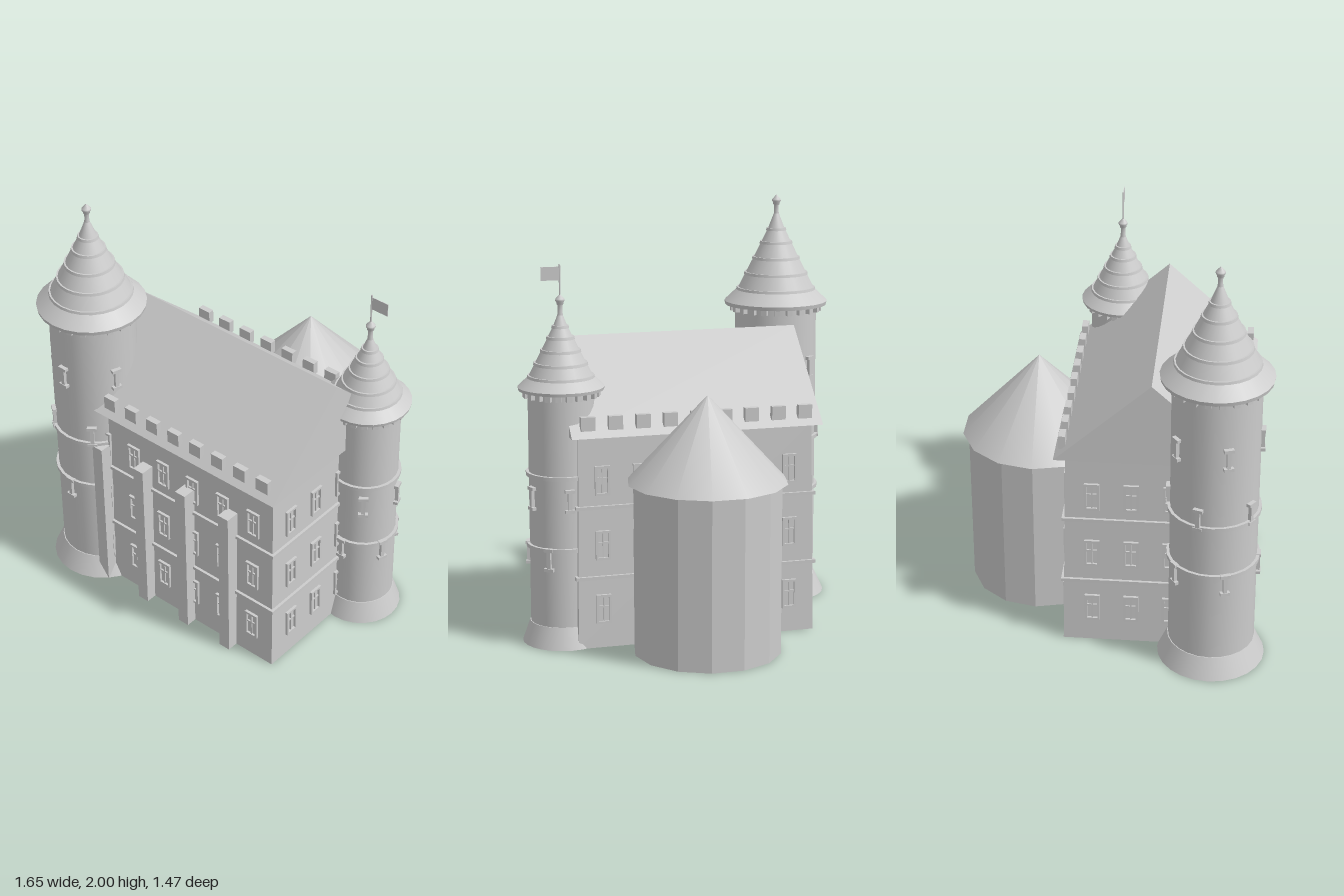
import * as THREE from 'three';

export function createModel() {
  const stone = new THREE.MeshStandardMaterial({ color: 0xcccccc });
  stone.name = 'paleStone';
  stone.side = THREE.DoubleSide;
  const castle = new THREE.Group();
  castle.name = 'castle';

  const group = (name, parent, x = 0, y = 0, z = 0, turn = 0) => {
    const g = new THREE.Group();
    g.name = name;
    g.position.set(x, y, z);
    g.rotation.y = turn;
    parent.add(g);
    return g;
  };
  const add = (name, geo, parent, x = 0, y = 0, z = 0) => {
    const m = new THREE.Mesh(geo, stone);
    m.name = name;
    m.position.set(x, y, z);
    parent.add(m);
    return m;
  };
  const box = (name, w, h, d, parent, x, y, z) =>
    add(name, new THREE.BoxGeometry(w, h, d), parent, x, y, z);
  // Round section given by its lower and upper heights and radii
  const drum = (name, y0, r0, y1, r1, parent, sides = 24) =>
    add(name, new THREE.CylinderGeometry(r1, r0, y1 - y0, sides), parent, 0, (y0 + y1) / 2, 0);

  // ---- Main hall: slightly tapered block with string courses ----
  const CX = 0.026, CZ = 0.193;
  const hall = group('hall', castle, CX, 0, CZ);
  const halfX = y => 0.571 - 0.012 * y;
  const halfZ = y => 0.407 - 0.018 * y;
  const wallGeo = new THREE.BoxGeometry(2, 1, 2).translate(0, 0.5, 0);
  const p = wallGeo.attributes.position;
  for (let i = 0; i < p.count; i++) {
    const y = p.getY(i);
    p.setX(i, p.getX(i) * halfX(y));
    p.setZ(i, p.getZ(i) * halfZ(y));
  }
  wallGeo.computeVertexNormals();
  add('hallWalls', wallGeo, hall);
  for (const y of [0.335, 0.667])
    box('stringCourse', 2 * halfX(y) + 0.026, 0.016, 2 * halfZ(y) + 0.026, hall, 0, y, 0);

  // Gable roof
  const gable = new THREE.Shape([
    new THREE.Vector2(-0.44, 1), new THREE.Vector2(0.44, 1), new THREE.Vector2(0, 1.4)]);
  const roofGeo = new THREE.ExtrudeGeometry(gable, { depth: 1.198, bevelEnabled: false });
  roofGeo.translate(0, 0, -0.599).rotateY(Math.PI / 2);
  add('gableRoof', roofGeo, hall);

  // Blocks along both eaves
  for (const s of [-1, 1])
    for (let i = 0; i < 9; i++)
      box('eaveBlock', 0.066, 0.064, 0.03, hall, (i - 4) * 0.1295, 1.063, s * 0.405);

  // Framed windows with a cross of glazing bars
  const addWindow = (parent, x, y, z) => {
    const w = group('window', parent, x, y, z);
    for (const s of [-1, 1]) {
      box('windowJamb', 0.011, 0.138, 0.024, w, s * 0.0295, 0, 0);
      box('windowSill', 0.07, 0.011, 0.024, w, 0, s * 0.0635, 0);
    }
    box('windowMullion', 0.007, 0.128, 0.014, w, 0, 0, 0);
    box('windowTransom', 0.06, 0.007, 0.014, w, 0, 0.012, 0);
  };
  for (let side = 0; side < 4; side++) {
    const wall = group('windowWall', hall, 0, 0, 0, side * Math.PI / 2);
    const n = side % 2 ? 4 : 6;
    for (const y of [0.185, 0.488, 0.792])
      for (let i = 0; i < n; i++)
        addWindow(wall, (i - (n - 1) / 2) * 0.18, y, side % 2 ? halfX(y) : halfZ(y));
  }

  // Front buttresses
  for (let i = 0; i < 4; i++)
    box('buttress', 0.058, 0.8, 0.075, castle, -0.42 + i * 0.2575, 0.4, 0.6155);

  // ---- Rear apse: fourteen flat sides under a cone ----
  const apse = group('apse', castle, CX, 0, -0.376, Math.PI / 2);
  const apseGeo = new THREE.CylinderGeometry(0.343, 0.343, 0.8, 14).toNonIndexed();
  apseGeo.computeVertexNormals();
  add('apseWalls', apseGeo, apse, 0, 0.4, 0);
  add('apseRoof', new THREE.ConeGeometry(0.37, 0.4, 14), apse, 0, 1.0, 0);

  // ---- Round towers ----
  // Roof tiers: height fraction, radius fraction
  const tiers = [[0.04, 1], [0.176, 0.74], [0.34, 0.59], [0.505, 0.435],
    [0.67, 0.29], [0.81, 0.165], [1, 0.03]];

  const addTower = (name, x, z, o) => {
    const t = group(name, castle, x, 0, z);
    drum('towerFoot', 0, o.foot, 0.1, o.r + 0.004, t);
    drum('towerWall', 0.1, o.r, o.eave, o.r, t);
    for (const y of o.bands) drum('towerBand', y - 0.009, o.r + 0.014, y + 0.009, o.r + 0.014, t);

    // Corbels under the eave
    for (let i = 0; i < 22; i++) {
      const c = group('corbel', t, 0, o.eave, 0, i * Math.PI / 11);
      box('corbelBlock', 0.026, 0.034, 0.034, c, 0, -0.013, o.r + 0.008);
    }

    // Stepped conical roof, each tier with a projecting lip
    const h = o.top - o.eave;
    drum('eaveRim', o.eave, o.roof * 0.985, o.eave + 0.04 * h, o.roof, t);
    for (let i = 0; i < tiers.length - 1; i++) {
      const [a, ra] = tiers[i], [b, rb] = tiers[i + 1];
      drum('roofTier', o.eave + a * h, ra * o.roof, o.eave + b * h, rb * o.roof, t);
      if (i) drum('roofLip', o.eave + a * h - 0.008, ra * o.roof + 0.008,
        o.eave + a * h + 0.005, ra * o.roof + 0.005, t);
    }

    // Finial
    const f = [[0.014, -0.02], [0.011, 0.005], [0.011, 0.03], [0.016, 0.036], [0.016, 0.043],
      [0.022, 0.052], [0.021, 0.06], [0, 0.083]].map(q => new THREE.Vector2(...q));
    add('finial', new THREE.LatheGeometry(f, 12), t, 0, o.top - 0.003, 0);

    // I-shaped slits, five to a row, alternate rows staggered
    for (const [y, stagger] of o.slits)
      for (let i = 0; i < 5; i++) {
        const s = group('slit', t, 0, y, 0, (i + stagger) * Math.PI * 0.4);
        box('slitBar', 0.018, 0.1, 0.03, s, 0, 0, o.r);
        for (const e of [-1, 1]) box('slitCap', 0.045, 0.015, 0.036, s, 0, e * 0.047, o.r);
      }
    return t;
  };

  addTower('greatTower', -0.574, 0.48, {
    r: 0.2, foot: 0.25, eave: 1.462, top: 1.92, roof: 0.253,
    bands: [0.806, 0.55], slits: [[1.165, 0], [0.85, 0.5], [0.507, 0]],
  });
  const small = addTower('smallTower', 0.626, -0.035, {
    r: 0.154, foot: 0.193, eave: 1.195, top: 1.555, roof: 0.2,
    bands: [0.806, 0.467], slits: [[0.701, 0.5], [0.423, 0]],
  });

  // Flag on the small tower
  drum('flagPole', 1.6, 0.004, 1.77, 0.004, small, 8);
  box('flag', 0.086, 0.062, 0.003, small, 0.045, 1.728, 0);

  return castle;
}
